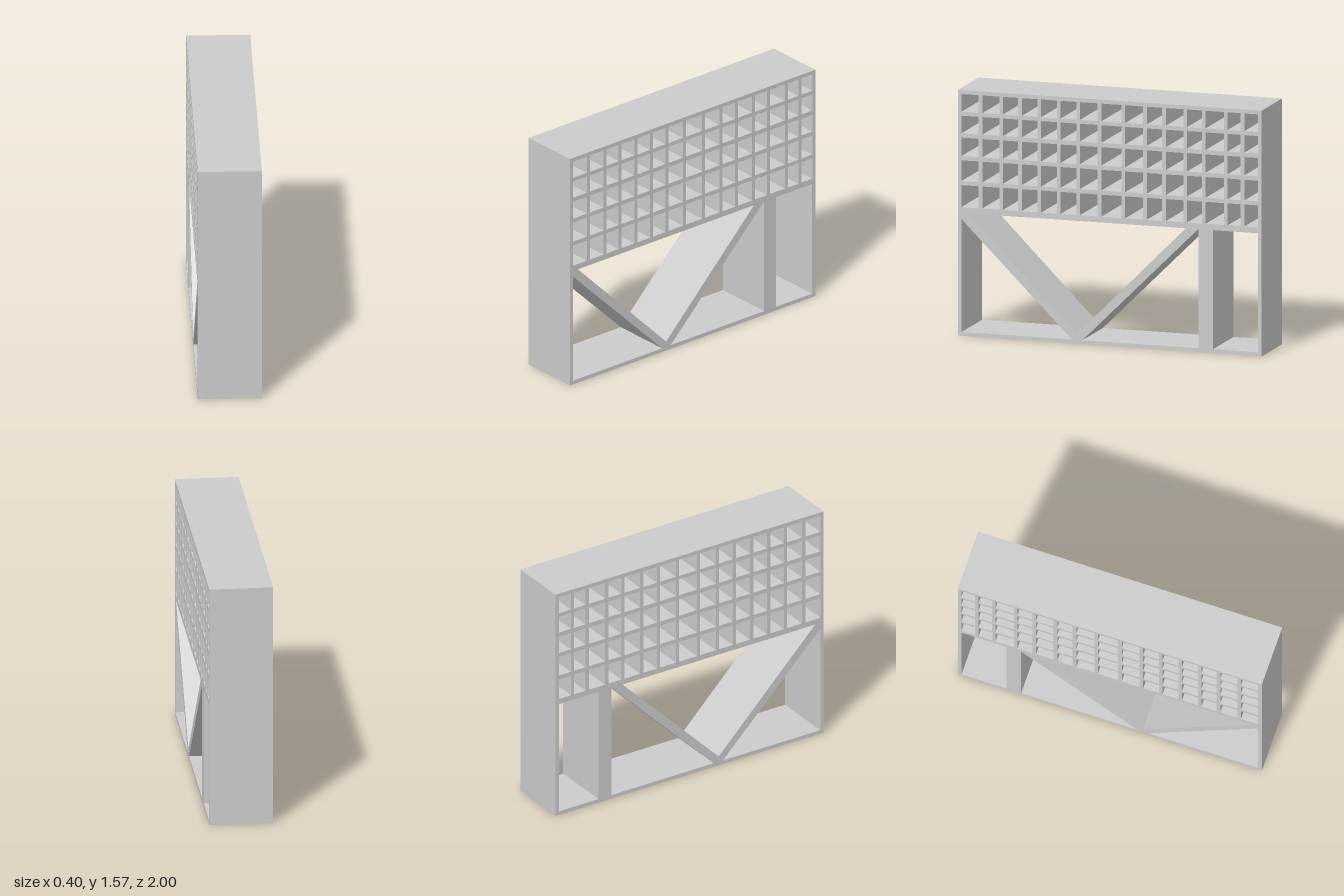
import * as THREE from 'three';

const DEPTH = 0.4;
const HEIGHT = 1.565;
const BOARD = 0.025;
const RACK_BOTTOM = 0.783;

const material = new THREE.MeshStandardMaterial({ color: 0xcccccc, flatShading: true });

// Side profiles are drawn as [z, y] and extruded across the depth in x.
const toPoints = (list) => list.map(([z, y]) => new THREE.Vector2(-z, y));
const rect = (z0, z1, y0, y1) => [[z0, y0], [z1, y0], [z1, y1], [z0, y1]];

function slab(name, outline, holes = []) {
  const shape = new THREE.Shape(toPoints(outline));
  shape.holes = holes.map((h) => new THREE.Path(toPoints(h)));
  const geometry = new THREE.ExtrudeGeometry(shape, { depth: DEPTH, bevelEnabled: false });
  geometry.translate(0, 0, -DEPTH / 2);
  geometry.rotateY(Math.PI / 2);
  const mesh = new THREE.Mesh(geometry, material);
  mesh.name = name;
  return mesh;
}

export function createModel() {
  const model = new THREE.Group();
  model.name = 'shelfUnit';

  // Upper rack: a block pierced by a grid of unevenly spaced pigeonholes
  const dividers = [0.988, 0.851, 0.715, 0.591, 0.463, 0.335, 0.208, 0.067,
    -0.09, -0.232, -0.357, -0.497, -0.619, -0.764, -0.874, -0.988];
  const rows = [[0.82, 0.96], [0.986, 1.118], [1.145, 1.262], [1.29, 1.402], [1.427, 1.54]];
  const cells = [];
  for (const [y0, y1] of rows) {
    for (let i = 0; i < dividers.length - 1; i++) {
      cells.push(rect(dividers[i] - 0.012, dividers[i + 1] + 0.012, y0, y1));
    }
  }
  model.add(slab('pigeonholeRack', rect(-1, 1, RACK_BOTTOM, HEIGHT), cells));

  // Lower frame: base, two end walls and a thick post
  model.add(slab('base', rect(-1, 1, 0, BOARD)));
  model.add(slab('frontWall', rect(1 - BOARD, 1, BOARD, RACK_BOTTOM)));
  model.add(slab('backWall', rect(-1, -1 + BOARD, BOARD, RACK_BOTTOM)));
  model.add(slab('post', rect(-0.68, -0.583, BOARD, RACK_BOTTOM)));

  // V-shaped brace standing on the base
  model.add(slab('diagonalBrace', [
    [0.975, RACK_BOTTOM], [0.936, RACK_BOTTOM], [0.217, 0.062], [-0.501, RACK_BOTTOM],
    [-0.583, RACK_BOTTOM], [0.18, BOARD], [0.249, BOARD], [0.975, 0.743],
  ]));

  return model;
}
